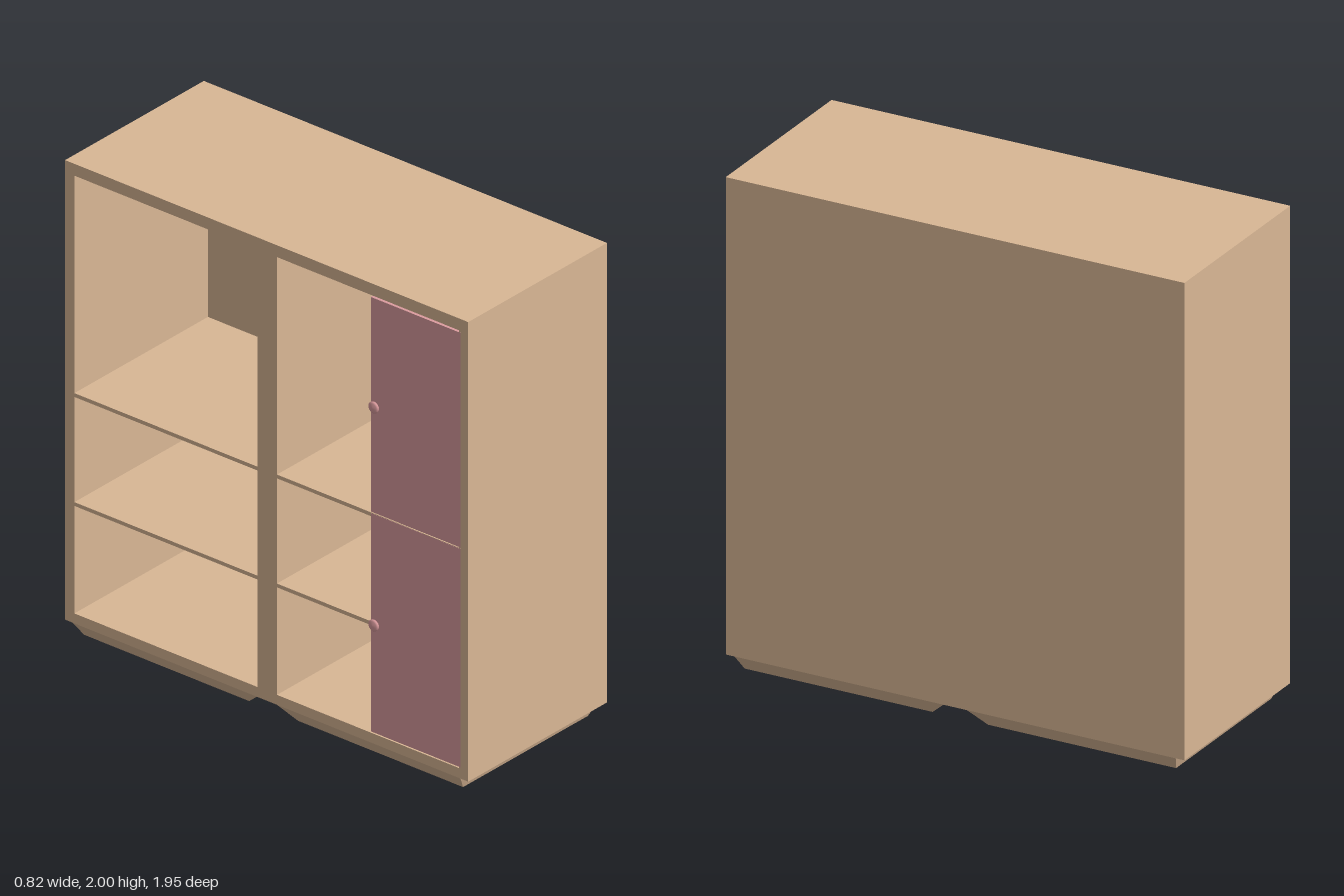
import * as THREE from 'three';

const wood = new THREE.MeshStandardMaterial({ color: 0xd9b795 });
const rose = new THREE.MeshStandardMaterial({ color: 0xdc9c9f });
const grey = new THREE.MeshStandardMaterial({ color: 0x90979a });

const X0 = -0.39, X1 = 0.41, Z = 0.975, Y0 = 0.06, Y1 = 2;
const WALL = 0.045;

// box given by its limits on each axis
function block(name, [x0, x1], [y0, y1], [z0, z1], material = wood) {
  const mesh = new THREE.Mesh(new THREE.BoxGeometry(x1 - x0, y1 - y0, z1 - z0), material);
  mesh.position.set((x0 + x1) / 2, (y0 + y1) / 2, (z0 + z1) / 2);
  mesh.name = name;
  return mesh;
}

// plinth: a box whose lower corners are drawn inwards
function plinth(side) {
  const geo = new THREE.BoxGeometry(1, 1, 1);
  const p = geo.attributes.position;
  for (let i = 0; i < p.count; i++) {
    const low = p.getY(i) < 0;
    const x = p.getX(i) < 0 ? (low ? -0.35 : X0) : (low ? 0.37 : X1);
    const inner = p.getZ(i) * side < 0;
    const z = inner ? (low ? 0.118 : 0.05) : (low ? 0.917 : 0.938);
    p.setXYZ(i, x, low ? 0 : Y0, z * side);
  }
  geo.computeVertexNormals();
  const mesh = new THREE.Mesh(geo, wood);
  mesh.name = side > 0 ? 'plinthLeft' : 'plinthRight';
  return mesh;
}

// round knob turned on an axis pointing out of the door
function knob(y, z) {
  const profile = [[0, 0], [0.012, 0], [0.012, 0.007], [0.023, 0.011], [0.024, 0.017], [0.018, 0.022], [0, 0.024]];
  const geo = new THREE.LatheGeometry(profile.map(([r, h]) => new THREE.Vector2(r, h)), 20);
  const mesh = new THREE.Mesh(geo, rose);
  mesh.rotation.z = Math.PI / 2;
  mesh.position.set(X0, y, z);
  mesh.name = 'knob';
  return mesh;
}

export function createModel() {
  const model = new THREE.Group();
  model.name = 'cabinet';

  // carcass, open towards -x
  const depth = [X0, X1], inside = [X0, X1 - 0.03];
  model.add(
    block('topPanel', depth, [Y1 - 0.05, Y1], [-Z, Z]),
    block('bottomPanel', depth, [Y0, Y0 + 0.042], [-Z, Z]),
    block('backPanel', [X1 - 0.03, X1], [Y0 + 0.042, Y1 - 0.05], [-Z, Z]),
    block('divider', inside, [Y0 + 0.042, Y1 - 0.05], [-WALL, WALL + 0.005])
  );
  for (const s of [-1, 1]) {
    const z = s > 0 ? [Z - WALL, Z] : [-Z, -Z + WALL];
    model.add(block('sidePanel', inside, [Y0 + 0.042, Y1 - 0.05], z), plinth(s));
    // two thin shelves in each bay
    const bay = s > 0 ? [WALL + 0.005, Z - WALL] : [-Z + WALL, -WALL];
    for (const y of [0.572, 1.032]) model.add(block('shelf', inside, [y - 0.016, y], bay));
  }

  // doors over the outer half of one bay
  for (const [name, y0, y1, knobY] of [['lowerDoor', 0.108, 1.03, 0.57], ['upperDoor', 1.036, 1.942, 1.49]]) {
    const door = new THREE.Group();
    door.name = name;
    door.add(block('doorPanel', [X0 - 0.001, X0 + 0.019], [y0, y1], [0.505, 0.938], rose), knob(knobY, 0.53));
    model.add(door);
  }

  // small box stored behind the lower door
  model.add(block('storedBox', [-0.34, 0.04], [0.572, 0.88], [0.864, Z - WALL], grey));
  return model;
}
